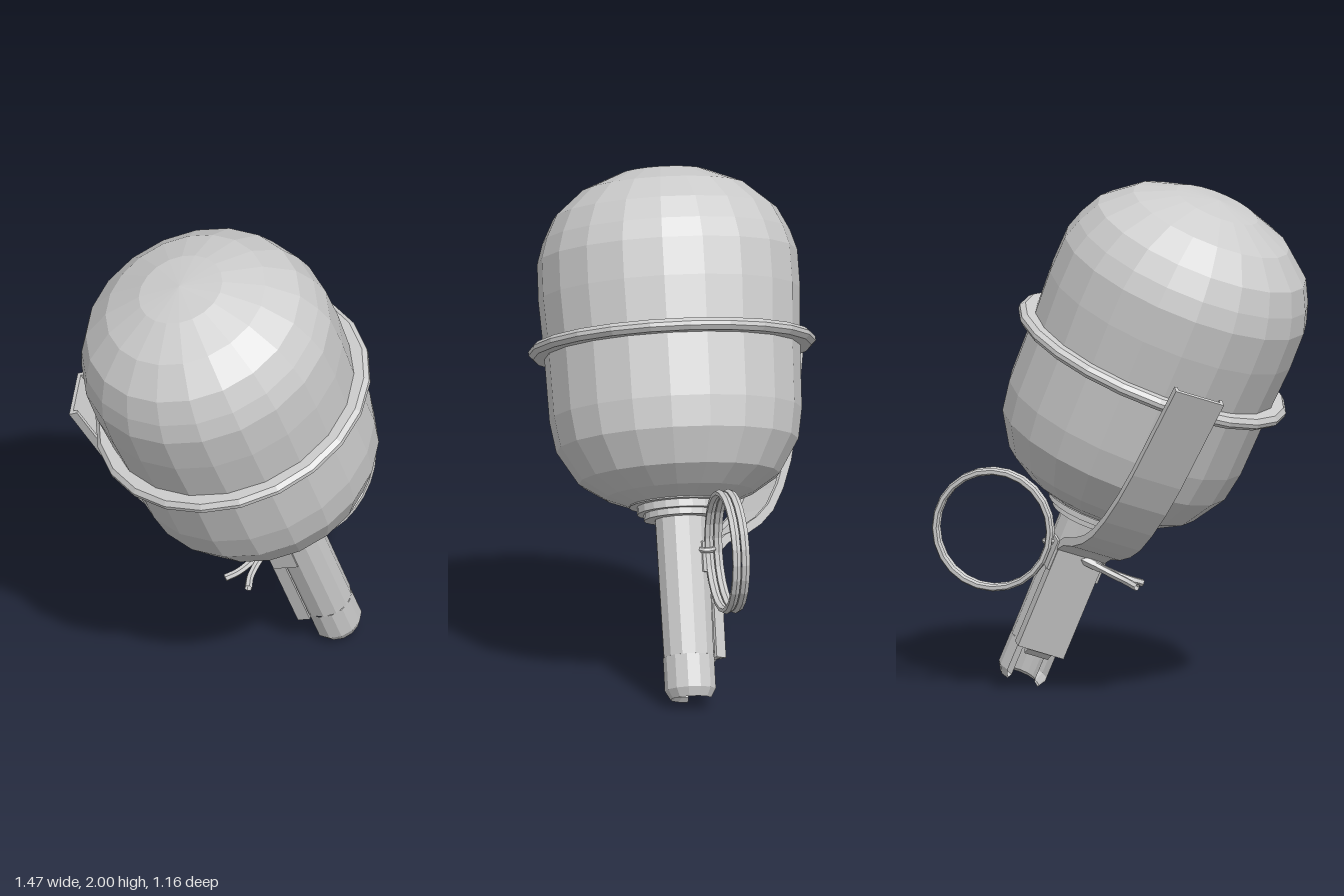
import * as THREE from 'three';

const steel = new THREE.MeshStandardMaterial({ color: 0xcccccc, flatShading: true, side: THREE.DoubleSide });
steel.name = 'light grey steel';

function mesh(name, geometry, parent) {
  const m = new THREE.Mesh(geometry, steel);
  m.name = name;
  parent.add(m);
  return m;
}

// Profiles are lists of [radius, height]
const lathe = (pts, sides, start = 0, arc = Math.PI * 2) =>
  new THREE.LatheGeometry(pts.map(([r, u]) => new THREE.Vector2(r, u)), sides, start, arc);

// Bent sheet: a path of [radius, height] thickened inwards and extruded across
function strip(path, thickness, width, offset = 0) {
  const p = path.map(([x, y]) => new THREE.Vector2(x, y));
  const inner = p.map((q, i) => {
    const t = p[Math.min(i + 1, p.length - 1)].clone().sub(p[Math.max(i - 1, 0)]).normalize();
    return new THREE.Vector2(q.x + t.y * thickness, q.y - t.x * thickness);
  });
  const g = new THREE.ExtrudeGeometry(new THREE.Shape([...p, ...inner.reverse()]), { depth: width, bevelEnabled: false });
  return g.translate(0, 0, offset - width / 2);
}

const tube = (pts, radius) => new THREE.TubeGeometry(
  new THREE.CatmullRomCurve3(pts.map(p => new THREE.Vector3(...p))), 12, radius, 6);

export function createModel() {
  const model = new THREE.Group();
  model.name = 'grenade';

  // Tilted frame: local y runs along the axis, origin at the band
  const axis = new THREE.Vector3(-0.39, 0.918, -0.065).normalize();
  const across = new THREE.Vector3(0.92, 0.39, 0).normalize();
  across.addScaledVector(axis, -across.dot(axis)).normalize();
  const frame = new THREE.Group();
  frame.name = 'tiltedAssembly';
  frame.quaternion.setFromRotationMatrix(
    new THREE.Matrix4().makeBasis(across, axis, across.clone().cross(axis)));
  frame.position.set(-0.13, 1.305, 0.028);
  model.add(frame);

  // Egg-shaped body and raised band
  mesh('body', lathe([[0, -0.62], [0.2, -0.62], [0.29, -0.585], [0.39, -0.52], [0.47, -0.39], [0.49, -0.27],
    [0.497, 0], [0.508, 0.2], [0.505, 0.35], [0.48, 0.43], [0.435, 0.52], [0.325, 0.615], [0.17, 0.68], [0, 0.7]], 20), frame);
  mesh('band', lathe([[0.48, -0.024], [0.54, -0.024], [0.557, -0.008], [0.557, 0.008], [0.54, 0.024], [0.48, 0.024]], 22), frame);

  // Stepped collar
  mesh('collar', lathe([[0, -0.68], [0.145, -0.68], [0.145, -0.655], [0.17, -0.655], [0.17, -0.625],
    [0.2, -0.625], [0.2, -0.58]], 20), frame);

  // Handle, with an open notched end below the lever
  mesh('handle', lathe([[0, -1.22], [0.1, -1.22], [0.105, -0.66]], 12), frame);
  const back = Math.PI + 0.49;
  mesh('handleEnd', lathe([[0.06, -1.22], [0.06, -1.37], [0.08, -1.385], [0.1, -1.35], [0.1, -1.22]], 9,
    back + 0.95, Math.PI * 2 - 1.9), frame);

  // Safety lever following the handle and the body
  const lever = new THREE.Group();
  lever.name = 'lever';
  lever.rotation.y = 2.06;
  frame.add(lever);
  const upper = [[0.625, 0.1], [0.548, -0.3], [0.51, -0.43], [0.46, -0.54], [0.4, -0.63], [0.33, -0.69],
    [0.24, -0.74], [0.15, -0.775], [0.106, -0.81]];
  const lower = [[0.106, -0.81], [0.106, -1.23]];
  mesh('leverPlate', strip([...upper, lower[1]], 0.016, 0.19), lever);
  for (const s of [-1, 1]) {
    mesh('leverUpperFlange', strip(upper, 0.035, 0.014, s * 0.096), lever);
    mesh('leverLowerFlange', strip(lower, 0.05, 0.012, s * 0.092), lever);
    mesh('pinLug', strip([[0.1, -0.78], [0.1, -0.9]], 0.1, 0.012, s * 0.103), lever);
  }
  mesh('leverFoot', strip([[0.106, -1.2], [0.1, -1.23], [0.075, -1.26]], 0.02, 0.1), lever);

  // Split pin through the handle
  mesh('pinShaft', tube([[0.26, 0.58, 0.01], [0.18, 0.54, 0.01], [0.07, 0.49, 0.01]], 0.02), model);
  for (const s of [-1, 1]) {
    mesh('pinLeg', tube([[0.09, 0.5, 0.01 + s * 0.008], [0.02, 0.467, 0.01 + s * 0.014],
      [-0.04, 0.443, 0.01 + s * 0.03], [-0.085, 0.426, 0.01 + s * 0.058]], 0.015), model);
  }
  const eye = mesh('pinEye', new THREE.TorusGeometry(0.026, 0.011, 6, 12), model);
  eye.position.set(0.265, 0.59, 0.01);
  eye.rotation.x = Math.PI / 2;

  // Two-turn pull ring
  for (const z of [0.014, -0.022]) {
    const ring = mesh('pullRing', new THREE.TorusGeometry(0.228, 0.014, 6, 24).scale(1, 1, 1.3), model);
    ring.position.set(0.49, 0.632, z);
    ring.rotation.y = -0.06;
  }
  return model;
}
